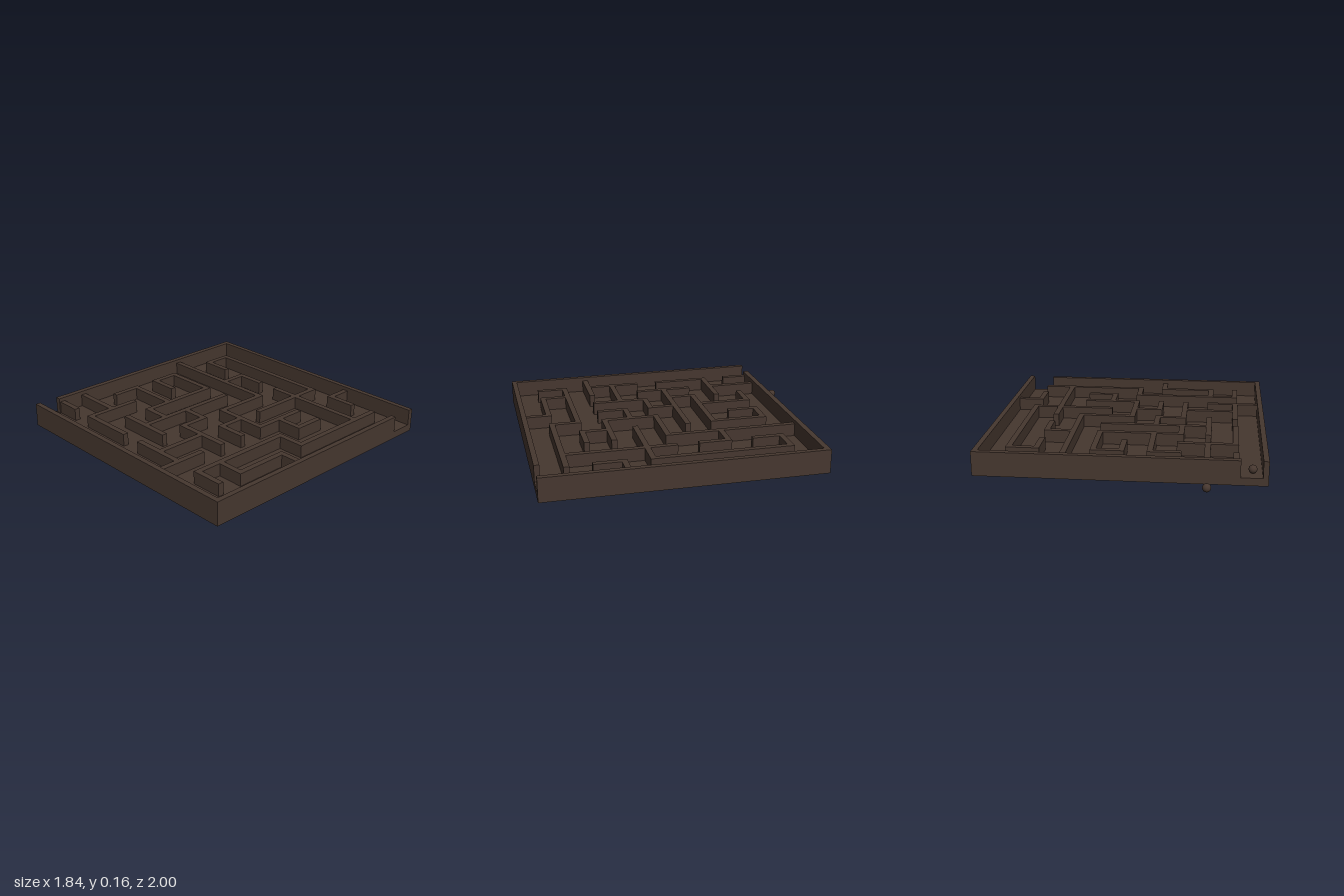
import * as THREE from 'three';

export function createModel() {
  const group = new THREE.Group();
  const wood = new THREE.MeshStandardMaterial({ color: 0x46372f });
  wood.name = 'dark brown';

  const HALF = 0.92, ZC = 0.078, CELL = 0.181, T = 0.038;
  const FLOOR = 0.05, INNER = 0.135, OUTER = 0.16;

  // Box from its min and max corners
  function box(name, x0, x1, y0, y1, z0, z1) {
    const mesh = new THREE.Mesh(new THREE.BoxGeometry(x1 - x0, y1 - y0, z1 - z0), wood);
    mesh.position.set((x0 + x1) / 2, (y0 + y1) / 2, (z0 + z1) / 2);
    mesh.name = name;
    group.add(mesh);
  }

  // Floor slab and border, with an entrance at the back left corner of the plan and an exit at the front
  const zb = ZC - HALF, zf = ZC + HALF, rim = 0.035;
  box('floor', -HALF, HALF, 0, FLOOR, zb, zf);
  box('rightBorder', -HALF, -HALF + rim, FLOOR, OUTER, zb, zf);
  box('leftBorder', HALF - rim, HALF, FLOOR, OUTER, zb, zf);
  box('backBorder', -0.75, HALF - rim, FLOOR, OUTER, zb, zb + T);
  box('frontBorder', -HALF + rim, 0.73, FLOOR, OUTER, zf - rim, zf);

  // Maze walls on a 10 x 10 grid: [line, from, to]
  const acrossWalls = [ // along x, at grid row
    [1, 3, 4], [1, 5, 6], [1, 8, 9], [2, 1, 3], [3, 3, 6], [3, 7, 8],
    [4, 2, 6], [5, 3, 4], [5, 5, 7], [6, 1, 3], [6, 4, 5], [6, 6, 9],
    [7, 0, 2], [7, 5, 7], [7, 9, 10], [8, 1, 5], [8, 6, 7], [9, 2, 4], [9, 5, 9],
  ];
  const deepWalls = [ // along z, at grid column
    [1, 0, 1], [1, 2, 4], [1, 5, 7], [1, 8, 9], [2, 0, 2], [2, 3, 5], [2, 8, 9],
    [3, 3, 4], [3, 5, 7], [4, 1, 3], [4, 4, 5], [4, 6, 7], [4, 9, 10],
    [5, 1, 2], [5, 5, 7], [5, 8, 9], [6, 1, 3], [6, 7, 8], [7, 0, 5],
    [8, 1, 2], [8, 3, 4], [8, 5, 9], [9, 1, 6], [9, 7, 8],
  ];
  const gx = (i) => (i - 5) * CELL;
  const gz = (j) => ZC + (j - 5) * CELL;
  const h = T / 2;
  // Walls that touch the border stop inside it
  const lo = (n) => (n === 0 ? 0 : -h);
  const hi = (n) => (n === 10 ? 0 : h);
  for (const [j, a, b] of acrossWalls)
    box('mazeWallAcross', gx(a) + lo(a), gx(b) + hi(b), FLOOR, INNER, gz(j) - h, gz(j) + h);
  for (const [i, a, b] of deepWalls)
    box('mazeWallDeep', gx(i) - h, gx(i) + h, FLOOR, INNER, gz(a) + lo(a), gz(b) + hi(b));

  // One ball at the entrance, one loose on the ground behind
  const R = 0.027;
  const ballGeometry = new THREE.SphereGeometry(R, 24, 16);
  for (const [name, x, y, z] of [
    ['ballInMaze', -0.825, FLOOR + R, -0.755],
    ['looseBall', -0.547, 0.031, -0.975],
  ]) {
    const ball = new THREE.Mesh(ballGeometry, wood);
    ball.name = name;
    ball.position.set(x, y, z);
    group.add(ball);
  }
  return group;
}
